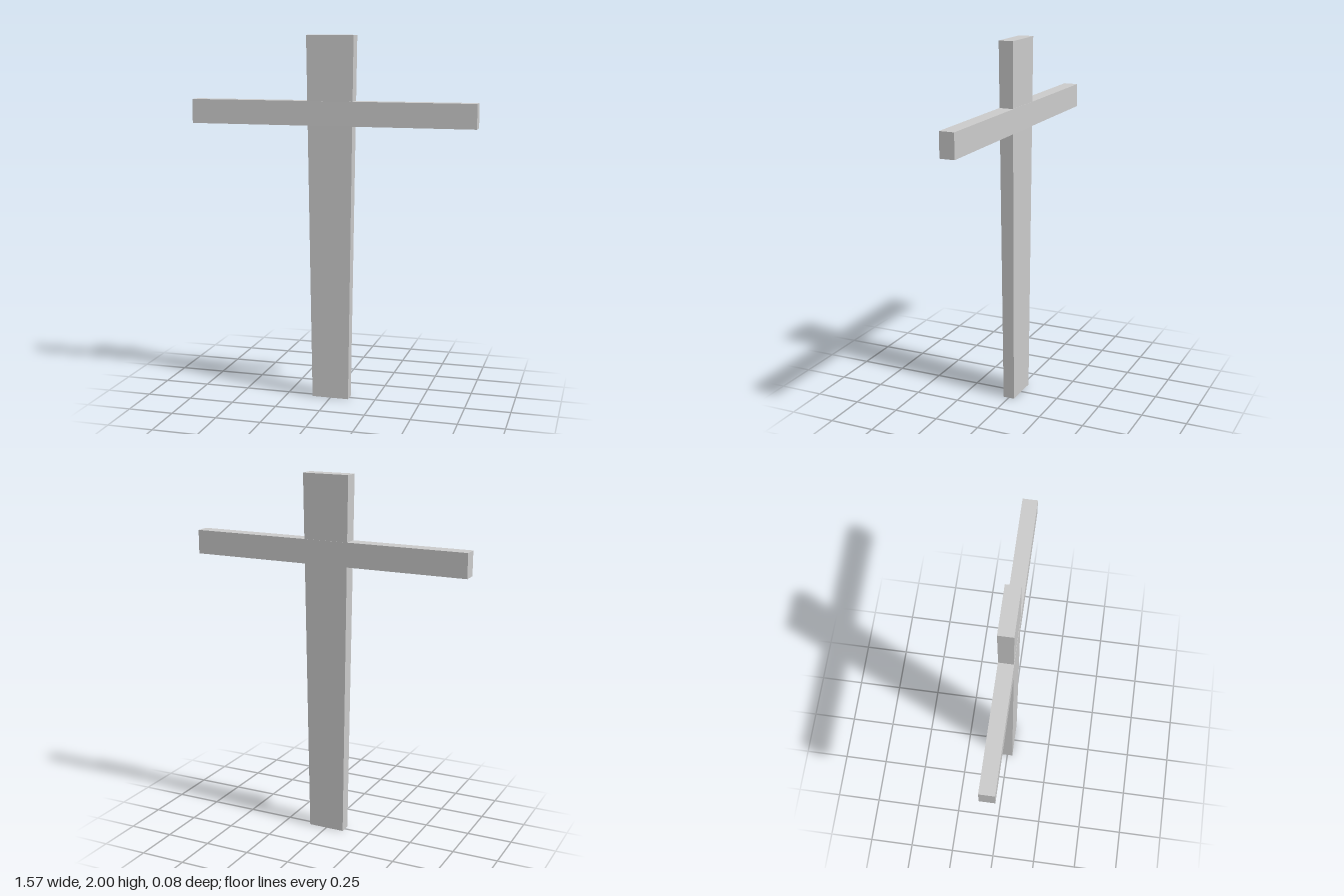
import * as THREE from 'three';

const TOP_W = 0.26, DEPTH = 0.08, HEIGHT = 2;
const FOOT_SCALE = 0.79; // the post narrows towards its foot

// Upright beam: a box whose cross-section shrinks linearly towards the ground
function taperedPost() {
  const geo = new THREE.BoxGeometry(TOP_W, HEIGHT, DEPTH).translate(0, HEIGHT / 2, 0);
  const pos = geo.attributes.position;
  for (let i = 0; i < pos.count; i++) {
    const s = THREE.MathUtils.lerp(FOOT_SCALE, 1, pos.getY(i) / HEIGHT);
    pos.setX(i, pos.getX(i) * s);
    pos.setZ(i, pos.getZ(i) * s);
  }
  geo.computeVertexNormals();
  return geo;
}

export function createModel() {
  const group = new THREE.Group();
  group.name = 'cross';
  const material = new THREE.MeshStandardMaterial({ color: 0xcccccc, flatShading: true });

  const post = new THREE.Mesh(taperedPost(), material);
  post.name = 'post';

  // Horizontal beam, slightly proud of the post's faces
  const crossbar = new THREE.Mesh(new THREE.BoxGeometry(1.574, 0.132, DEPTH), material);
  crossbar.name = 'crossbar';
  crossbar.position.y = 1.585;

  group.add(post, crossbar);
  return group;
}
